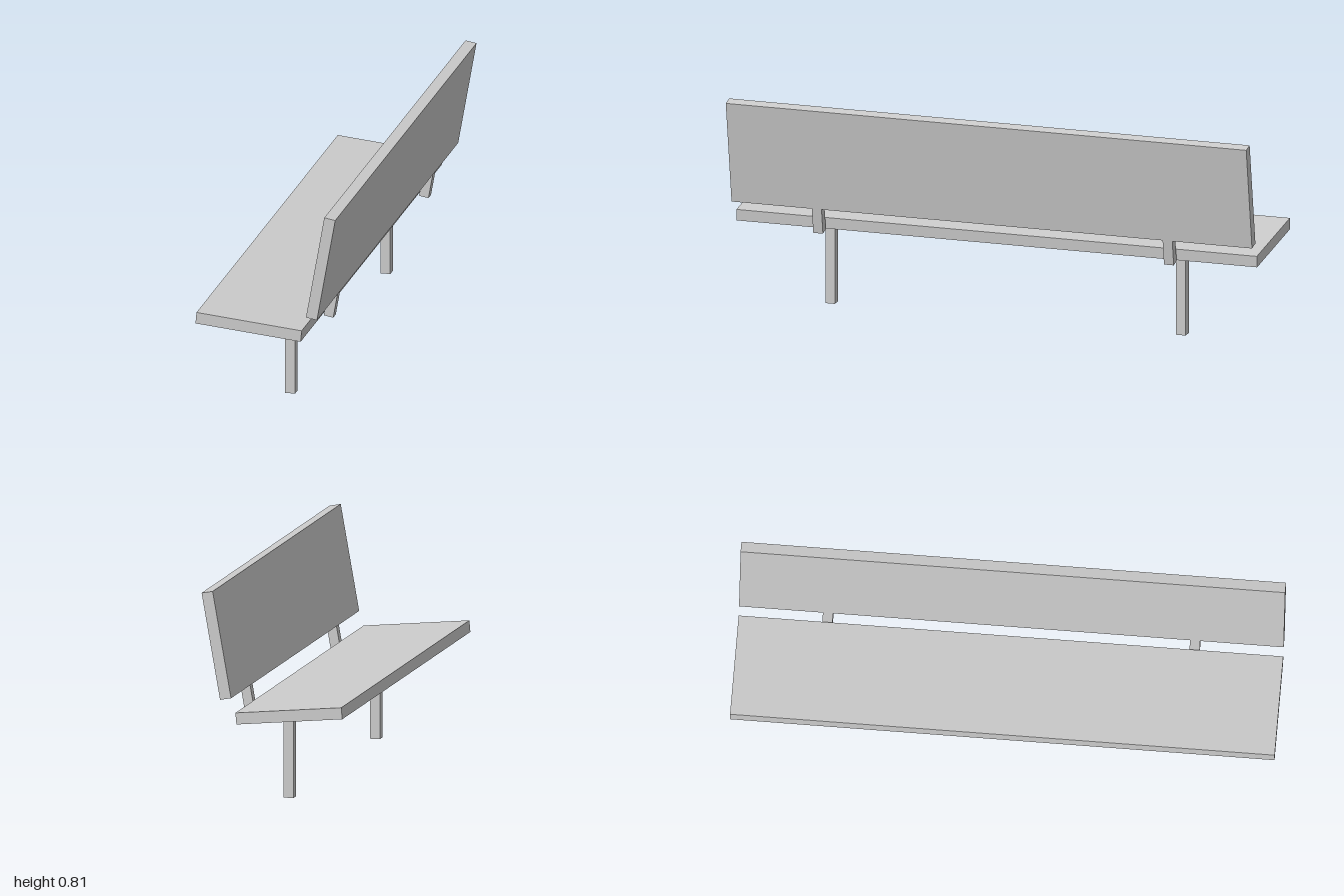
import * as THREE from 'three';

export function createModel() {
  const bench = new THREE.Group();
  bench.name = 'bench';
  const material = new THREE.MeshStandardMaterial({ color: 0xcccccc, flatShading: true });

  function addBoard(name, size, position, tiltDegrees = 0) {
    const mesh = new THREE.Mesh(new THREE.BoxGeometry(...size), material);
    mesh.name = name;
    mesh.position.set(...position);
    mesh.rotation.z = THREE.MathUtils.degToRad(tiltDegrees);
    bench.add(mesh);
  }

  // Long planks: seat tips down towards the leaning backrest
  addBoard('seat', [0.4, 0.043, 2], [-0.065, 0.356, 0], -5);
  addBoard('backrest', [0.042, 0.4, 2], [0.208, 0.607, 0], -10);

  // A leg and a backrest bracket near each end
  for (const [side, z] of [['front', 0.674], ['back', -0.674]]) {
    addBoard(side + 'Leg', [0.037, 0.335, 0.037], [0.01, 0.1675, z]);
    addBoard(side + 'BackrestBracket', [0.036, 0.1, 0.037], [0.1643, 0.361, z], -10);
  }
  return bench;
}
